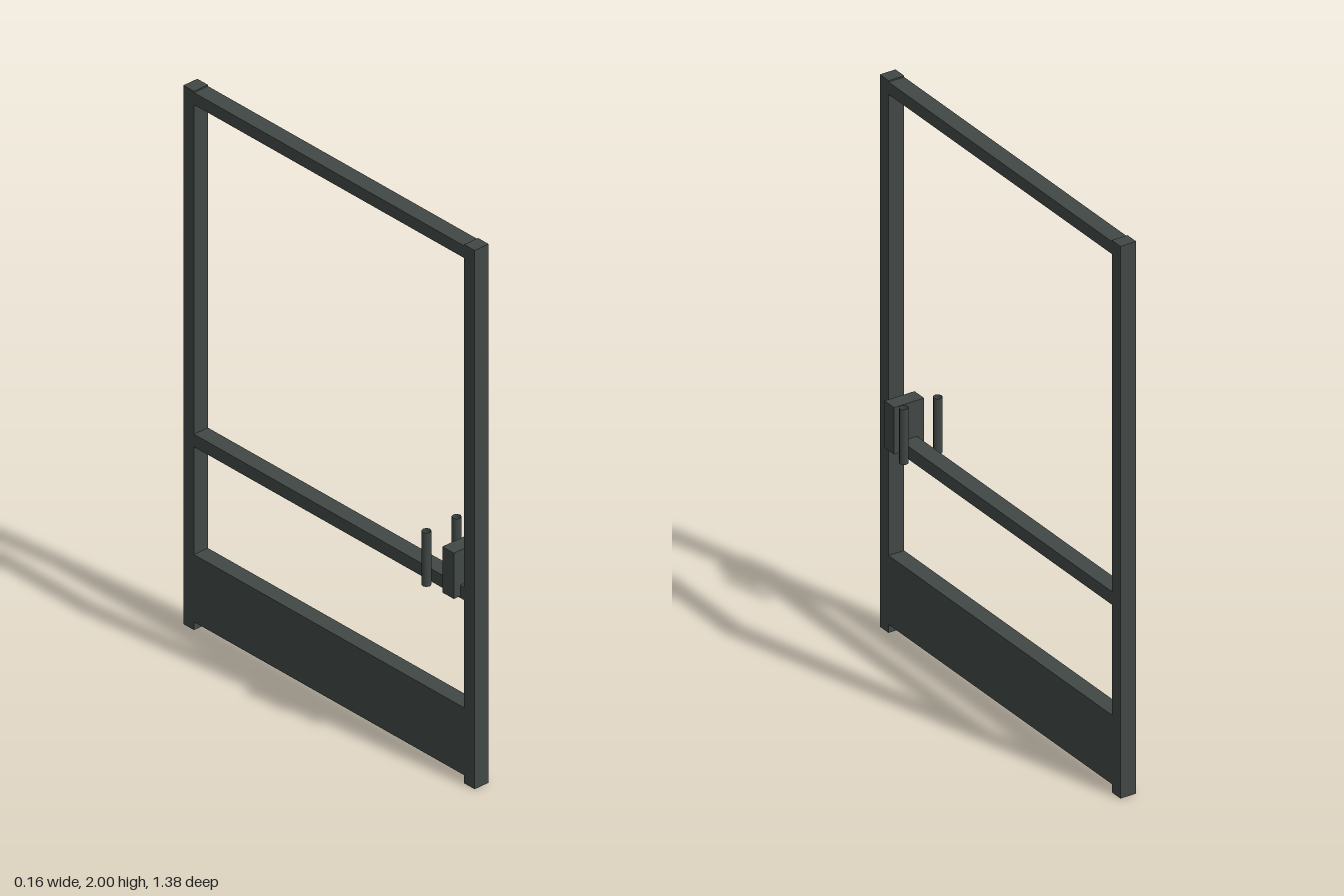
import * as THREE from 'three';

export function createModel() {
  const gate = new THREE.Group();
  gate.name = 'gate';
  const paint = new THREE.MeshStandardMaterial({ color: 0x414846 });
  paint.name = 'dark grey paint';
  // open-ended tubes need both sides
  const tubePaint = paint;
  tubePaint.side = THREE.DoubleSide;

  // box spanning y0..y1 and z0..z1, centred on x = 0
  const box = (name, width, y0, y1, z0, z1) => {
    const mesh = new THREE.Mesh(new THREE.BoxGeometry(width, y1 - y0, z1 - z0), paint);
    mesh.position.set(0, (y0 + y1) / 2, (z0 + z1) / 2);
    mesh.name = name;
    gate.add(mesh);
  };

  // upright posts
  box('frontPost', 0.06, 0, 2, 0.64, 0.69);
  box('backPost', 0.06, 0, 2, -0.69, -0.64);

  // cross rails
  box('topRail', 0.06, 1.95, 1.995, -0.64, 0.64);
  box('middleRail', 0.06, 0.68, 0.727, -0.64, 0.64);
  box('bottomRail', 0.06, 0.03, 0.075, -0.64, 0.64);

  // solid kick panel above the bottom rail
  box('kickPanel', 0.06, 0.075, 0.28, -0.64, 0.64);

  // lock case beside the front post
  box('lockCase', 0.115, 0.687, 0.857, 0.567, 0.622);

  // upright handle tube on each side
  for (const side of [-1, 1]) {
    const handle = new THREE.Mesh(
      new THREE.CylinderGeometry(0.016, 0.016, 0.2, 8, 1, true), tubePaint);
    handle.position.set(side * 0.065, 0.79, 0.5);
    handle.name = side > 0 ? 'leftHandle' : 'rightHandle';
    gate.add(handle);
  }
  return gate;
}
